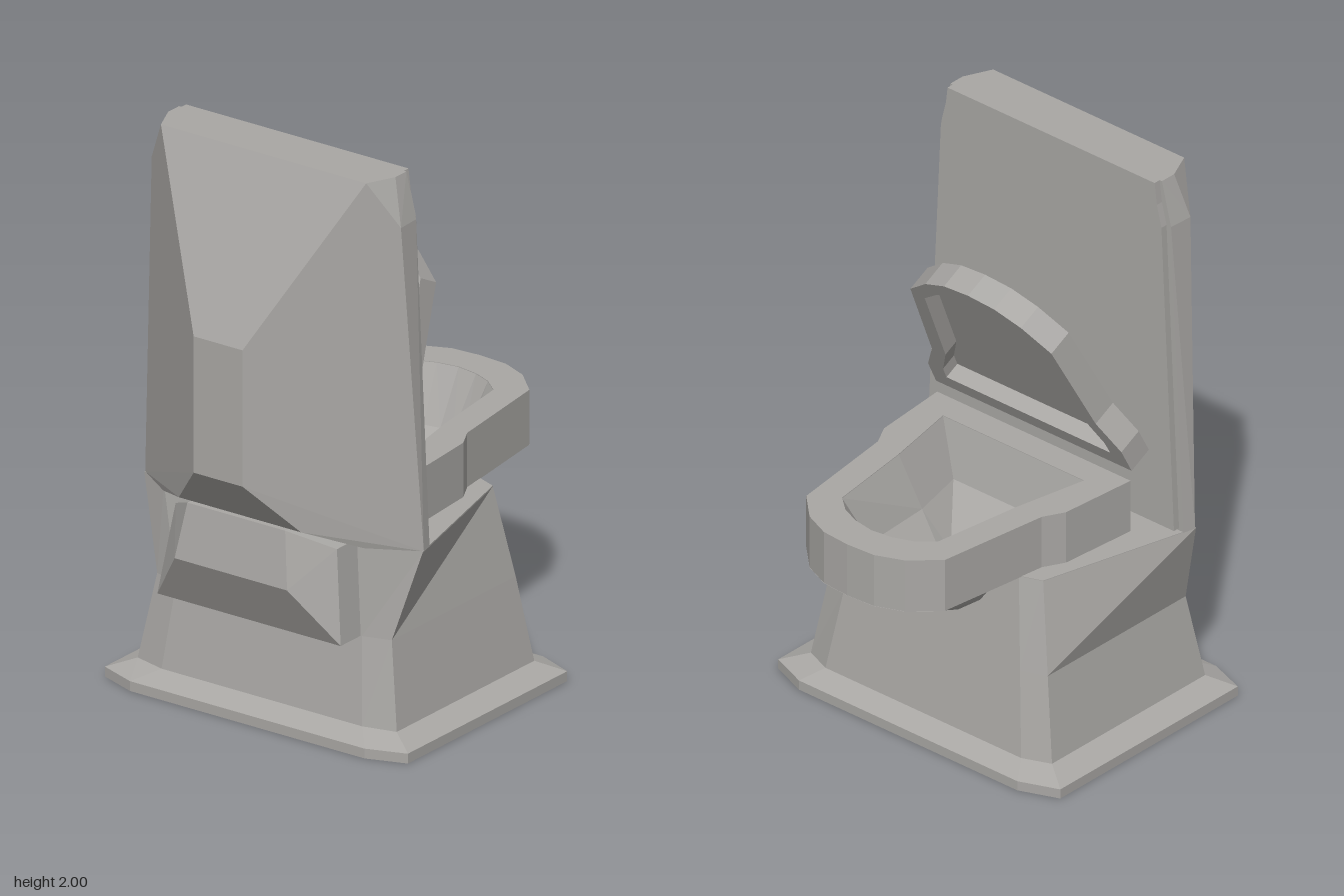
import * as THREE from 'three';
import { ConvexGeometry } from 'three/addons/geometries/ConvexGeometry.js';

const grey = new THREE.MeshStandardMaterial({ color: 0xa9a7a4, flatShading: true, side: THREE.DoubleSide });
grey.name = 'ceramic grey';
const dark = new THREE.MeshStandardMaterial({ color: 0x223130, flatShading: true, side: THREE.DoubleSide });
dark.name = 'dark water';

const v3 = (p) => new THREE.Vector3(...p);
const flip = (p) => [-p[0], ...p.slice(1)];
// full outline from its right half (mirrored copies appended in reverse)
const mirror = (half) => [...half, ...half.filter((p) => p[0] !== 0).map(flip).reverse()];
// symmetric arc: left end, middle, right end
const arc = (half) => [...half.slice(1).map(flip).reverse(), ...half];
const level = (pts, y) => pts.map(([x, z]) => [x, y, z]);
const shapeOf = (pts) => new THREE.Shape(pts.map(([x, y]) => new THREE.Vector2(x, y)));

// convex solid from right-half points
const hull = (half) => new ConvexGeometry([...half, ...half.map(flip)].map(v3));

// flat-faced skin between successive cross-sections
function loft(rings, closed = true) {
  const pos = [];
  for (let r = 0; r + 1 < rings.length; r++) {
    const a = rings[r], b = rings[r + 1], n = a.length;
    for (let i = 0; i < (closed ? n : n - 1); i++) {
      const j = (i + 1) % n;
      pos.push(...a[i], ...b[i], ...b[j], ...a[i], ...b[j], ...a[j]);
    }
  }
  const g = new THREE.BufferGeometry();
  g.setAttribute('position', new THREE.Float32BufferAttribute(pos, 3));
  g.computeVertexNormals();
  return g;
}

// horizontal slab from an (x, z) shape, top at the given height
function slab(shape, depth, top) {
  const g = new THREE.ExtrudeGeometry(shape, { depth, bevelEnabled: false });
  return g.rotateX(Math.PI / 2).translate(0, top, 0);
}

export function createModel() {
  const model = new THREE.Group();
  const add = (name, geometry, material = grey, parent = model) => {
    const m = new THREE.Mesh(geometry, material);
    m.name = name;
    parent.add(m);
    return m;
  };

  // floor plinth with cut corners and a sloped upper edge
  const foot = [[0.48, 0.56], [0.62, 0.51], [0.62, -0.365], [0.48, -0.42]];
  const footTop = [[0.41, 0.48], [0.53, 0.45], [0.53, -0.305], [0.43, -0.345]];
  add('plinth', hull([...level(foot, 0), ...level(foot, 0.035), ...level(footTop, 0.07)]));

  // pedestal walls, pinched at the front and tapering to the back
  const waist = [[0.38, 0.44], [0.48, 0.41], [0.48, -0.27], [0.386, -0.301]];
  const rim = [[0.46, 0.4], [0.57, 0.36], [0.42, -0.225], [0.34, -0.255]];
  const wall = (half, y) => level([...half.map(flip).reverse(), ...half], y);
  add('pedestalWalls', loft([wall(footTop, 0.07), wall(waist, 0.37), wall(rim, 0.69)], false));

  // pedestal back wall, notched where the bowl passes through
  const notch = [[0, 0.46], [0.1, 0.48], [0.19, 0.55], [0.25, 0.64], [0.26, 0.69]];
  const back = new THREE.ShapeGeometry(shapeOf(
    [[-0.34, 0.69], [-0.43, 0.07], [0.43, 0.07], [0.34, 0.69], ...arc(notch).reverse()]));
  const bp = back.attributes.position;
  for (let i = 0; i < bp.count; i++) bp.setZ(i, -0.345 + ((bp.getY(i) - 0.07) / 0.62) * 0.09);
  add('pedestalBack', back);

  // pedestal top, open below the bowl
  add('pedestalTop', slab(shapeOf([...rim.slice().reverse(), ...rim.map(flip),
    [-0.26, -0.255], [-0.26, 0.12], [0.26, 0.12], [0.26, -0.255]]), 0.005, 0.692));

  // faceted block on the front of the pedestal
  add('frontBlock', hull([[0.375, 0.37, 0.55], [0.375, 0.37, 0.4], [0.23, 0.565, 0.65],
    [0.2, 0.76, 0.62], [0.33, 0.69, 0.51], [0.33, 0.69, 0.4], [0.2, 0.76, 0.4]]));

  // tall faceted tank and its back plate
  add('tank', hull([[0.57, 0.69, 0.355], [0.51, 1.84, 0.4], [0.485, 1.92, 0.39], [0.465, 2, 0.37],
    [0.56, 0.69, 0.31], [0.505, 1.84, 0.31], [0.48, 1.92, 0.31], [0.465, 2, 0.31],
    [0.42, 2, 0.47], [0.1, 1.41, 0.72], [0.1, 0.925, 0.72], [0.25, 0.76, 0.6], [0.41, 0.7, 0.47]]));
  add('tankBackPlate', new THREE.ExtrudeGeometry(
    shapeOf(mirror([[0.54, 0.7], [0.485, 1.84], [0.465, 1.92], [0.455, 2]])),
    { depth: 0.04, bevelEnabled: false }).translate(0, 0, 0.285));

  // seat ring with a long rounded opening
  const front = [[0, -0.72], [0.11, -0.712], [0.21, -0.67], [0.305, -0.58]];
  const hole = [[0, -0.6], [0.08, -0.588], [0.15, -0.56], [0.21, -0.51], [0.255, -0.18], [0.31, 0.1]];
  const seat = shapeOf(mirror([...front, [0.36, -0.165], [0.4, -0.09], [0.425, 0.2]]));
  seat.holes.push(new THREE.Path(mirror(hole).map(([x, z]) => new THREE.Vector2(x, z))));
  add('seat', slab(seat, 0.195, 0.885));

  // bowl interior: steep upper wall, then a slope down to the water
  const ledge = [[0, -0.5], [0.06, -0.49], [0.115, -0.47], [0.155, -0.43], [0.17, -0.16], [0.22, 0.05]];
  const pool = [[0, -0.29], [0.025, -0.285], [0.042, -0.27], [0.05, -0.24], [0.06, -0.18], [0.08, -0.12]];
  add('bowlInside', loft([level(mirror(hole), 0.883), level(mirror(ledge), 0.7), level(mirror(pool), 0.56)]));
  add('water', slab(shapeOf(mirror(pool)), 0.005, 0.565), dark);

  // outside of the bowl, sweeping from the seat into the pedestal
  const lower = [[0, 0.46, -0.29], [0.1, 0.48, -0.287], [0.19, 0.55, -0.277], [0.25, 0.64, -0.264]];
  add('bowlOutside', loft([level(arc(front), 0.69), arc(lower)], false));
  const inner = arc(hole.slice(0, 4));
  add('seatUnderside', loft([level(arc(front), 0.689), level(inner, 0.689)], false));

  // raised lid: a rim around a recessed panel
  const lid = new THREE.Group();
  lid.name = 'lid';
  const lidHalf = [[0.43, 0], [0.425, 0.1], [0.36, 0.22], [0.31, 0.58], [0.21, 0.665], [0.11, 0.71], [0, 0.722]];
  const recess = [[0.36, 0.06], [0.355, 0.11], [0.3, 0.22], [0.255, 0.56], [0.175, 0.625], [0.09, 0.66], [0, 0.672]];
  const lidRim = shapeOf(mirror(lidHalf));
  lidRim.holes.push(new THREE.Path(mirror(recess).map(([x, y]) => new THREE.Vector2(x, y))));
  add('lidRim', new THREE.ExtrudeGeometry(lidRim, { depth: 0.06, bevelEnabled: false }), grey, lid);
  add('lidPanel', new THREE.ExtrudeGeometry(shapeOf(mirror(lidHalf)), { depth: 0.035, bevelEnabled: false })
    .translate(0, 0, 0.06), grey, lid);
  lid.position.set(0, 0.925, 0.2);
  lid.rotation.x = -0.467;
  model.add(lid);

  return model;
}
